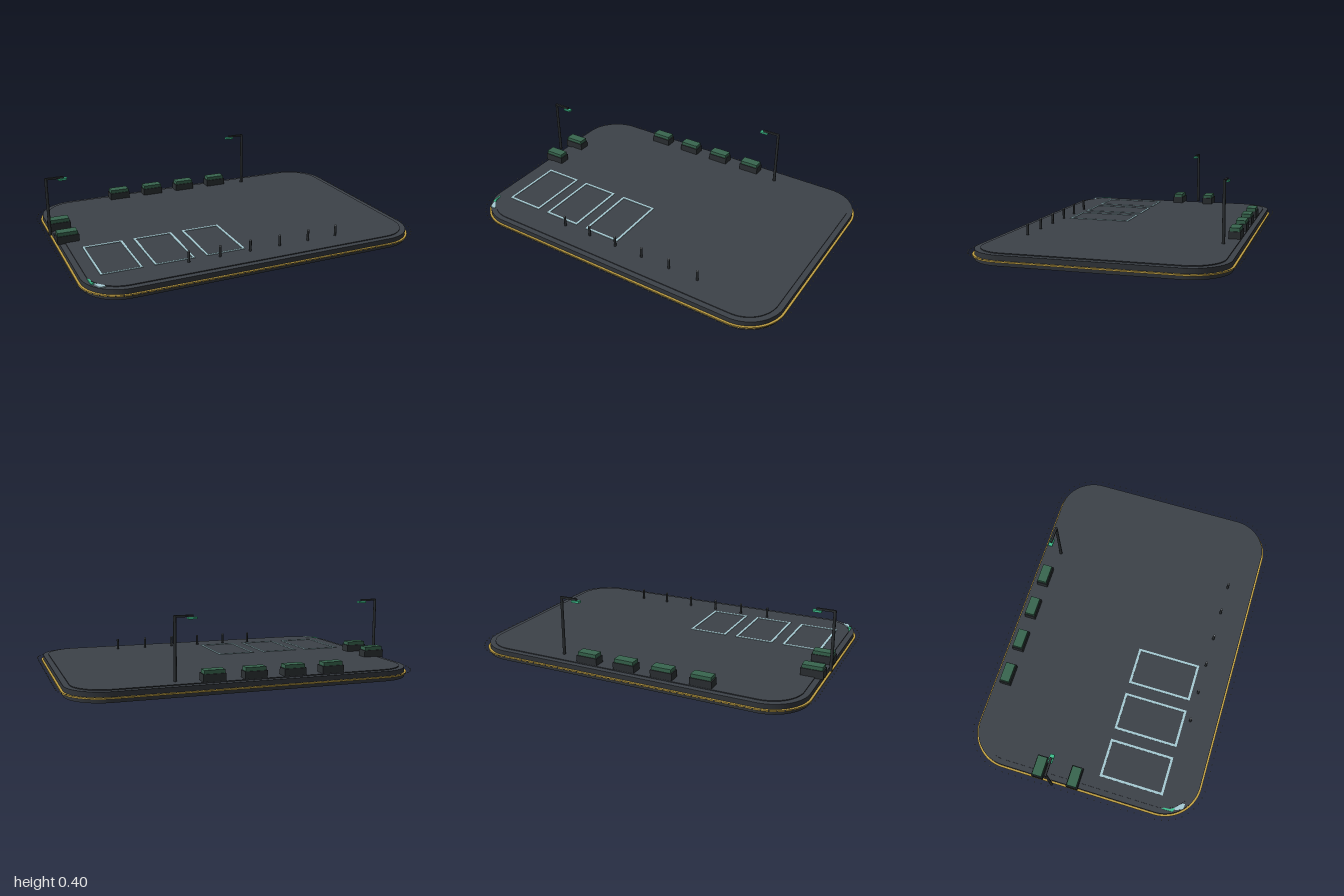
import * as THREE from 'three';

const mat = (name, color, side = THREE.FrontSide) => {
  const m = new THREE.MeshStandardMaterial({ color, side });
  m.name = name;
  return m;
};

// Rounded rectangle centred on the origin, given half sizes and corner radius
function roundedRect(Base, hx, hz, r) {
  const s = new Base();
  s.moveTo(-hx + r, -hz);
  s.lineTo(hx - r, -hz);
  s.absarc(hx - r, -hz + r, r, -Math.PI / 2, 0, false);
  s.lineTo(hx, hz - r);
  s.absarc(hx - r, hz - r, r, 0, Math.PI / 2, false);
  s.lineTo(-hx + r, hz);
  s.absarc(-hx + r, hz - r, r, Math.PI / 2, Math.PI, false);
  s.lineTo(-hx, -hz + r);
  s.absarc(-hx + r, -hz + r, r, Math.PI, Math.PI * 1.5, false);
  return s;
}

// Flat slab from a plan shape, lying on height y (shape y becomes -z)
function slab(shape, y, height) {
  const g = new THREE.ExtrudeGeometry(shape, { depth: height, bevelEnabled: false, curveSegments: 12 });
  return g.rotateX(-Math.PI / 2).translate(0, y, 0);
}

export function createModel() {
  const root = new THREE.Group();
  root.name = 'parkingLot';

  const asphalt = mat('asphalt', 0x3d4249);
  const darkBase = mat('darkBase', 0x33373c);
  const darkMetal = mat('darkMetal', 0x2c3033);
  const gold = mat('goldTrim', 0xc0a044);
  const hedgeGreen = mat('hedgeGreen', 0x38664f);
  const paint = mat('paleBluePaint', 0xa6cbd3);
  const lampGreen = mat('lampGreen', 0x40c290);
  const beadGrey = mat('beadGrey', 0x70757a);

  const add = (parent, name, geometry, material, x = 0, y = 0, z = 0) => {
    const m = new THREE.Mesh(geometry, material);
    m.name = name;
    m.position.set(x, y, z);
    parent.add(m);
    return m;
  };
  const group = (name, x = 0, y = 0, z = 0) => {
    const g = new THREE.Group();
    g.name = name;
    g.position.set(x, y, z);
    root.add(g);
    return g;
  };
  const box = (w, h, d) => new THREE.BoxGeometry(w, h, d);

  // Platform: base, slightly raised deck and gold band
  const TOP = 0.06;
  add(root, 'base', slab(roundedRect(THREE.Shape, 0.961, 0.667, 0.21), 0, 0.055), [asphalt, darkBase]);
  add(root, 'deck', slab(roundedRect(THREE.Shape, 0.93, 0.637, 0.18), 0.055, 0.005), [asphalt, darkBase]);
  const band = roundedRect(THREE.Shape, 0.973, 0.679, 0.222);
  band.holes.push(roundedRect(THREE.Path, 0.958, 0.664, 0.207));
  add(root, 'goldBand', slab(band, 0.02, 0.008), gold);

  // Ring of tiny beads floating around the platform
  const beads = group('perimeterBeads');
  const beadGeo = box(0.006, 0.005, 0.006);
  const ring = roundedRect(THREE.Path, 0.997, 0.702, 0.25).getSpacedPoints(160).slice(0, -1);
  ring.forEach((p) => add(beads, 'bead', beadGeo, beadGrey, p.x, 0.037, p.y));

  // Painted parking bays
  const W = 0.225, D = 0.376, T = 0.013;
  for (const x of [-0.748, -0.46, -0.171]) {
    const bay = group('parkingBay', x, TOP + 0.001, 0.288);
    for (const s of [-1, 1]) {
      add(bay, 'sideLine', box(T, 0.004, D), paint, s * (W - T) / 2, 0, 0);
      add(bay, 'endLine', box(W - 2 * T, 0.004, T), paint, 0, 0, s * (D - T) / 2);
    }
  }

  // Planters with clipped hedges
  const planters = [
    [-0.445, -0.602], [-0.223, -0.602], [-0.002, -0.602], [0.224, -0.602],
    [-0.912, -0.237], [-0.912, -0.03],
  ];
  for (const [x, z] of planters) {
    const p = group('planter', x, 0.055, z);
    add(p, 'planterBox', box(0.124, 0.045, 0.066), darkMetal, 0, 0.0225, 0);
    add(p, 'hedge', box(0.112, 0.02, 0.056), hedgeGreen, 0, 0.055, 0);
  }

  // Street lamps; dir is the way the arm reaches along x
  for (const [x, z, dir] of [[-0.982, -0.148, 1], [0.413, -0.564, -1]]) {
    const lamp = group('streetLamp', x, TOP, z);
    add(lamp, 'pole', new THREE.CylinderGeometry(0.008, 0.009, 0.337, 10), darkMetal, 0, 0.1665, 0);
    add(lamp, 'arm', box(0.1, 0.011, 0.012), darkMetal, dir * 0.047, 0.331, 0);
    add(lamp, 'lampHead', box(0.048, 0.011, 0.024), lampGreen, dir * 0.092, 0.32, 0);
  }

  // Row of bollards with pale caps
  for (let i = 0; i < 6; i++) {
    const b = group('bollard', -0.4 + i * 0.1775, TOP - 0.002, 0.512);
    add(b, 'post', new THREE.CylinderGeometry(0.007, 0.007, 0.062, 10), darkMetal, 0, 0.031, 0);
    add(b, 'cap', new THREE.CylinderGeometry(0.006, 0.007, 0.004, 10), beadGrey, 0, 0.064, 0);
  }

  // Small painted corner marks
  const mark = (name, pts, material) => {
    const s = new THREE.Shape(pts.map(([x, z]) => new THREE.Vector2(x, -z)));
    add(root, name, slab(s, 0.056, 0.006), material);
  };
  mark('greenCornerMark', [[-0.932, 0.49], [-0.922, 0.5], [-0.92, 0.535], [-0.905, 0.56], [-0.93, 0.555]], lampGreen);
  mark('paleCornerMark', [[-0.918, 0.562], [-0.905, 0.558], [-0.87, 0.595], [-0.868, 0.61], [-0.9, 0.607]], paint);

  return root;
}
